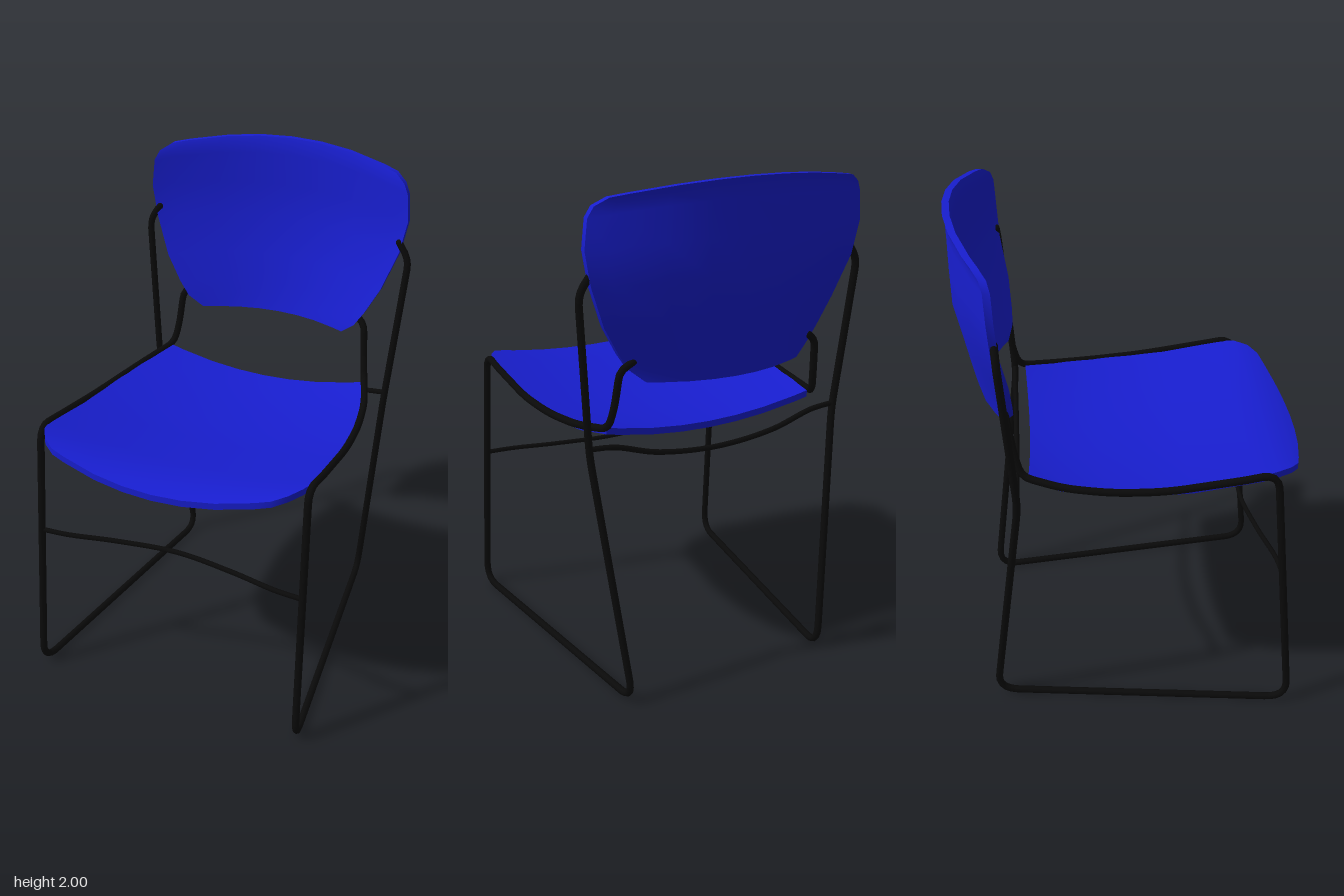
import * as THREE from 'three';
import { toCreasedNormals } from 'three/addons/utils/BufferGeometryUtils.js';

const blue = new THREE.MeshStandardMaterial({ color: 0x181ed0 });
const black = new THREE.MeshStandardMaterial({ color: 0x0a0a0a });
const V = (x, y, z) => new THREE.Vector3(x, y, z);

// Closed sheet: a grid of points (rows x columns) thickened along an offset
function shell(name, rows, cols, pointAt, offset) {
  const nR = rows.length, nC = cols.length, n = nR * nC;
  const face = rows.flatMap(r => cols.map(s => pointAt(r, s)));
  const pts = [...face, ...face.map(p => p.clone().add(offset))];
  const id = (i, j) => i * nC + j;
  const index = [];
  for (let i = 0; i < nR - 1; i++) {
    for (let j = 0; j < nC - 1; j++) {
      const a = id(i, j), b = id(i, j + 1), c = id(i + 1, j + 1), d = id(i + 1, j);
      index.push(a, b, c, a, c, d, a + n, c + n, b + n, a + n, d + n, c + n);
    }
  }
  // rim around the perimeter
  const loop = [];
  for (let j = 0; j < nC - 1; j++) loop.push(id(0, j));
  for (let i = 0; i < nR - 1; i++) loop.push(id(i, nC - 1));
  for (let j = nC - 1; j > 0; j--) loop.push(id(nR - 1, j));
  for (let i = nR - 1; i > 0; i--) loop.push(id(i, 0));
  loop.forEach((p, k) => {
    const q = loop[(k + 1) % loop.length];
    index.push(p, p + n, q, q, p + n, q + n);
  });
  const geo = new THREE.BufferGeometry().setFromPoints(pts);
  geo.setIndex(index);
  const mesh = new THREE.Mesh(toCreasedNormals(geo, 0.75), blue);
  mesh.name = name;
  return mesh;
}

// Polyline with rounded corners; each point is [x, y, z, cornerRadius]
function bentPath(points) {
  const path = new THREE.CurvePath();
  const p = points.map(a => V(a[0], a[1], a[2]));
  let from = p[0];
  for (let i = 1; i < p.length - 1; i++) {
    const r = points[i][3];
    const before = p[i].clone().add(p[i - 1].clone().sub(p[i]).setLength(r));
    const after = p[i].clone().add(p[i + 1].clone().sub(p[i]).setLength(r));
    path.add(new THREE.LineCurve3(from, before));
    path.add(new THREE.QuadraticBezierCurve3(before, p[i], after));
    from = after;
  }
  path.add(new THREE.LineCurve3(from, p[p.length - 1]));
  return path;
}

// Round bar along a curve with rounded ends
function bar(name, curve, radius, segments) {
  const g = new THREE.Group();
  g.name = name;
  g.add(new THREE.Mesh(new THREE.TubeGeometry(curve, segments, radius, 8), black));
  for (const t of [0, 1]) {
    const cap = new THREE.Mesh(new THREE.SphereGeometry(radius, 8, 6), black);
    cap.position.copy(curve.getPoint(t));
    g.add(cap);
  }
  return g;
}

export function createModel() {
  const model = new THREE.Group();
  model.name = 'chair';
  const cols = [-1, -0.87, -0.55, -0.27, 0, 0.27, 0.55, 0.87, 1];

  // Seat rows, front to back: half width, z at edge, z at centre, y at centre
  const seatRows = [
    [0.45, 0.61, 0.67, 1.035],
    [0.50, 0.575, 0.62, 1.05],
    [0.535, 0.52, 0.54, 1.056],
    [0.553, 0.45, 0.45, 1.05],
    [0.55, 0.2, 0.2, 1.012],
    [0.542, 0.05, 0.05, 1.003],
    [0.525, -0.12, -0.12, 1.0],
    [0.49, -0.29, -0.29, 1.007],
    [0.44, -0.41, -0.40, 1.022],
  ];
  model.add(shell('seat', seatRows, cols, ([w, zE, zC, y], s) =>
    V(w * s, y + 0.055 * s * s, zE + (zC - zE) * (1 - s * s)), V(0, -0.026, 0)));

  // Backrest rows, bottom to top: half width, y at edge, y at centre, z at centre
  const backRows = [
    [0.32, 1.26, 1.26, -0.56],
    [0.38, 1.31, 1.31, -0.573],
    [0.42, 1.37, 1.38, -0.588],
    [0.48, 1.48, 1.50, -0.612],
    [0.54, 1.64, 1.66, -0.645],
    [0.565, 1.77, 1.80, -0.647],
    [0.555, 1.88, 1.93, -0.647],
    [0.535, 1.92, 1.975, -0.648],
    [0.49, 1.95, 2.0, -0.655],
  ];
  model.add(shell('backrest', backRows, cols, ([w, yE, yC, z], s) => {
    const bendWidth = THREE.MathUtils.mapLinear(THREE.MathUtils.clamp(yE, 1.3, 1.75), 1.3, 1.75, 0.42, 0.565);
    return V(w * s, yE + (yC - yE) * (1 - s * s), z + 0.147 * (w * s / bendWidth) ** 2);
  }, V(0, 0, -0.027)));

  // Side frames: one bent rod from backrest to floor, up the front, along the seat and back up
  for (const side of [1, -1]) {
    const path = bentPath([
      [0.535, 1.68, -0.505],
      [0.58, 1.615, -0.50, 0.04],
      [0.53, 1.0, -0.455, 0.06],
      [0.425, 0.015, -0.58, 0.09],
      [0.572, 0.015, 0.615, 0.09],
      [0.555, 1.115, 0.515, 0.07],
      [0.558, 1.095, 0.40, 0.04],
      [0.553, 1.055, 0.1, 0.08],
      [0.535, 1.048, -0.1, 0.08],
      [0.50, 1.056, -0.28, 0.06],
      [0.445, 1.08, -0.435, 0.04],
      [0.43, 1.17, -0.46, 0.04],
      [0.417, 1.31, -0.48, 0.03],
      [0.37, 1.345, -0.495],
    ].map(([x, ...rest]) => [x * side, ...rest]));
    model.add(bar(side > 0 ? 'leftSideFrame' : 'rightSideFrame', path, 0.0145, 220));
  }

  // Cross bars, mirrored from half paths running from the left end to the centre
  const crossBar = (name, half, radius) => {
    const pts = [...half, ...half.slice(0, -1).reverse().map(([x, y, z]) => [-x, y, z])];
    model.add(bar(name, new THREE.CatmullRomCurve3(pts.map(p => V(...p))), radius, 48));
  };
  crossBar('rearCrossBar', [[0.53, 1.025, -0.457], [0.43, 1.015, -0.457], [0.25, 0.962, -0.457], [0, 0.938, -0.457]], 0.011);
  crossBar('frontCrossBar', [[0.553, 0.655, 0.556], [0.45, 0.655, 0.548], [0.25, 0.655, 0.508], [0, 0.655, 0.478]], 0.01);

  return model;
}
